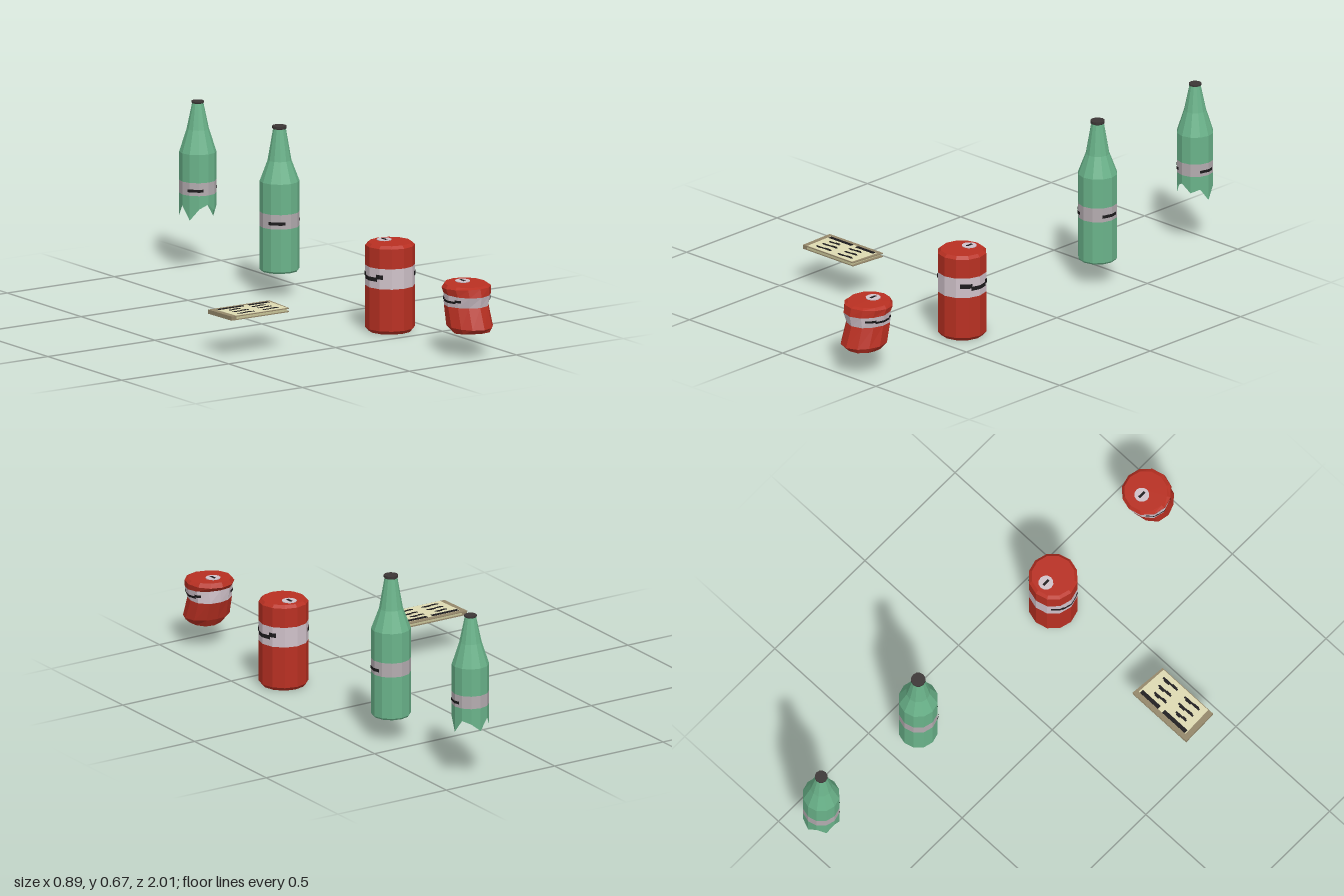
import * as THREE from 'three';

const RED = 0xb93022, GREEN = 0x6ab38a, BAND = 0xd0c2ca, LABEL = 0xb4acb0;
const DARK = 0x1c1a1c, CAP = 0x3c3636, CREAM = 0xdedab2, PAPER = 0xc8c498, BROWN = 0x94876a;
const N = 12;

const mat = (color) => new THREE.MeshStandardMaterial({ color, flatShading: true, side: THREE.DoubleSide });
function add(parent, name, geo, color) {
  const m = new THREE.Mesh(geo, mat(color));
  m.name = name;
  parent.add(m);
  return m;
}

// Ring of N corners, starting at +z and turning towards +x
function ring(r, y, { z = 0, tilt = 0, dent = 0, phase = 0, jag = null } = {}) {
  return Array.from({ length: N }, (_, i) => {
    const a = (i / N) * Math.PI * 2;
    const rr = r * (1 + dent * Math.sin(3 * a + phase));
    return new THREE.Vector3(rr * Math.sin(a), jag ? jag[i] : y + tilt * Math.cos(a), z + rr * Math.cos(a));
  });
}

// Skin joining a list of rings, bottom to top
function skin(rings) {
  const pos = [];
  for (let k = 0; k < rings.length - 1; k++) {
    for (let i = 0; i < N; i++) {
      const j = (i + 1) % N, lo = rings[k], hi = rings[k + 1];
      for (const p of [lo[i], lo[j], hi[j], lo[i], hi[j], hi[i]]) pos.push(p.x, p.y, p.z);
    }
  }
  const g = new THREE.BufferGeometry();
  g.setAttribute('position', new THREE.Float32BufferAttribute(pos, 3));
  g.computeVertexNormals();
  return g;
}

// Dark patch lying on the band between two rings; u counts facets
function patch(parent, lo, hi, u0, u1, v0, v1) {
  const at = (rg, u) => {
    const f = Math.floor(u), i = ((f % N) + N) % N;
    return rg[i].clone().lerp(rg[(i + 1) % N], u - f);
  };
  const g = new THREE.PlaneGeometry(1, 1, 12, 1), p = g.attributes.position;
  for (let k = 0; k < p.count; k++) {
    const u = u0 + (u1 - u0) * (p.getX(k) + 0.5), v = v0 + (v1 - v0) * (p.getY(k) + 0.5);
    const q = at(lo, u).lerp(at(hi, u), v), a = (u / N) * Math.PI * 2;
    p.setXYZ(k, q.x + 0.0025 * Math.sin(a), q.y, q.z + 0.0025 * Math.cos(a));
  }
  g.computeVertexNormals();
  add(parent, 'labelMark', g, DARK);
}

// Stepped dark bars on both sides of a can
function canMarks(parent, lo, hi) {
  for (const c of [3, 9]) {
    patch(parent, lo, hi, c - 0.8, c + 0.8, 0.35, 0.55);
    patch(parent, lo, hi, c - 1.7, c - 0.7, 0.48, 0.7);
    patch(parent, lo, hi, c + 0.7, c + 1.3, 0.48, 0.7);
  }
}

// Opening on a can lid
function lidOpening(parent, y, z, tilt) {
  const g = new THREE.Group();
  g.name = 'lidOpening';
  add(g, 'openingPlate', new THREE.CylinderGeometry(0.029, 0.029, 0.003, N), BAND);
  add(g, 'openingSlot', new THREE.BoxGeometry(0.01, 0.005, 0.03), DARK);
  g.position.set(0, y, z);
  g.rotation.x = tilt;
  parent.add(g);
}

function can() {
  const g = new THREE.Group();
  const lo = ring(0.096, 0.18), hi = ring(0.096, 0.26);
  add(g, 'canLowerBody', skin([ring(0, 0.006), ring(0.08, 0.006), ring(0.084, 0), ring(0.096, 0.014), lo]), RED);
  add(g, 'canBand', skin([lo, hi]), BAND);
  add(g, 'canUpperBody', skin([hi, ring(0.096, 0.338), ring(0.084, 0.349), ring(0, 0.349)]), RED);
  canMarks(g, lo, hi);
  lidOpening(g, 0.35, -0.04, 0);
  return g;
}

function crushedCan() {
  const g = new THREE.Group();
  const lo = ring(0.086, 0.2, { z: 0.005, dent: 0.05, phase: 1 });
  const hi = ring(0.092, 0.246, { z: 0.01, tilt: -0.004, dent: 0.03, phase: 2 });
  add(g, 'crushedLowerBody', skin([
    ring(0, 0.096, { z: 0.04 }),
    ring(0.072, 0.098, { z: 0.035, tilt: 0.003, dent: 0.06 }),
    ring(0.09, 0.122, { z: 0.03, tilt: -0.004, dent: 0.05, phase: 1.5 }), lo]), RED);
  add(g, 'crushedBand', skin([lo, hi]), BAND);
  add(g, 'crushedUpperBody', skin([hi,
    ring(0.096, 0.27, { tilt: 0.004 }),
    ring(0.084, 0.282, { z: -0.003, tilt: -0.003 }), ring(0, 0.283)]), RED);
  canMarks(g, lo, hi);
  lidOpening(g, 0.286, -0.025, 0.03);
  return g;
}

// Bottle: base rings (closed or jagged), label, shoulder, neck and cap
function bottle(base, r, label0, label1, shoulder, neck, capBottom, capTop, capR) {
  const g = new THREE.Group();
  const lo = ring(r, label0), hi = ring(r, label1);
  add(g, 'bottleLowerBody', skin([...base, lo]), GREEN);
  add(g, 'bottleLabel', skin([lo, hi]), LABEL);
  add(g, 'bottleUpperBody', skin([hi, ring(r, shoulder), ring(r * 0.6, neck), ring(capR - 0.003, capBottom)]), GREEN);
  add(g, 'bottleCap', skin([ring(capR - 0.003, capBottom), ring(capR, capBottom + 0.002), ring(capR, capTop), ring(0, capTop)]), CAP);
  for (const c of [2.7, 10.5]) patch(g, lo, hi, c - 0.75, c + 0.95, 0.28, 0.5);
  return g;
}

// Flat slab from x,z corners between two heights
function slab(parent, name, pts, y0, y1, color) {
  const s = new THREE.Shape(pts.map(([x, z]) => new THREE.Vector2(x, -z)));
  const g = new THREE.ExtrudeGeometry(s, { depth: y1 - y0, bevelEnabled: false });
  g.rotateX(-Math.PI / 2).translate(0, y0, 0);
  add(parent, name, g, color);
}

function paper() {
  const g = new THREE.Group();
  const outer = [[-0.44, 0.434], [-0.172, 0.434], [-0.159, 0.281], [-0.445, 0.281]];
  const inner = [[-0.418, 0.431], [-0.18, 0.431], [-0.173, 0.3], [-0.423, 0.3]];
  slab(g, 'pages', [[-0.43, 0.433], [-0.18, 0.433], [-0.172, 0.285], [-0.43, 0.285]], 0.153, 0.164, PAPER);
  slab(g, 'fold', [[-0.441, 0.434], [-0.418, 0.434], [-0.422, 0.282], [-0.445, 0.282]], 0.151, 0.166, BROWN);
  slab(g, 'lowerSheet', outer, 0.15, 0.154, BROWN);
  slab(g, 'upperSheet', outer, 0.163, 0.1665, BROWN);

  let seed = 7;
  const rnd = () => (seed = (seed * 16807) % 2147483647) / 2147483647;
  const bar = (x, y, z, w, d) => add(g, 'printBar', new THREE.BoxGeometry(w, 0.0012, d), DARK).position.set(x, y, z);
  // Printed face on top and underneath
  for (const [y0, y1, yBar] of [[0.1665, 0.1675, 0.1677], [0.149, 0.15, 0.1488]]) {
    slab(g, 'printedFace', inner, y0, y1, CREAM);
    bar(-0.358, yBar, 0.308, 0.12, 0.016);
    bar(-0.228, yBar, 0.308, 0.095, 0.016);
    for (const z of [0.34, 0.372, 0.407]) {
      for (const x of [-0.4, -0.285]) {
        const w = 0.055 + 0.03 * rnd(), shift = 0.012 * rnd();
        bar(x + shift + w / 2, yBar, z, w, 0.008);
        bar(x + shift + w * 0.7, yBar, z - 0.005, w * 0.35, 0.008);
        bar(x + shift + w * 0.25, yBar, z + 0.004, w * 0.3, 0.006);
      }
    }
  }
  return g;
}

export function createModel() {
  const model = new THREE.Group();
  model.name = 'litterSet';
  const place = (part, name, x, z) => {
    part.name = name;
    part.position.set(x, 0, z);
    model.add(part);
  };
  place(can(), 'can', 0.347, 0.366);
  place(crushedCan(), 'crushedCan', 0.347, 0.883);
  place(bottle([ring(0, 0.097), ring(0.072, 0.097), ring(0.077, 0.104)],
    0.077, 0.273, 0.33, 0.45, 0.532, 0.655, 0.667, 0.028), 'bottle', 0.347, -0.383);
  const jag = [0.268, 0.235, 0.25, 0.2, 0.252, 0.24, 0.21, 0.255, 0.215, 0.26, 0.205, 0.25];
  place(bottle([ring(0.072, 0, { jag })],
    0.072, 0.303, 0.354, 0.465, 0.555, 0.656, 0.664, 0.025), 'brokenBottle', 0.341, -0.928);
  place(paper(), 'foldedPaper', 0, 0);
  return model;
}
